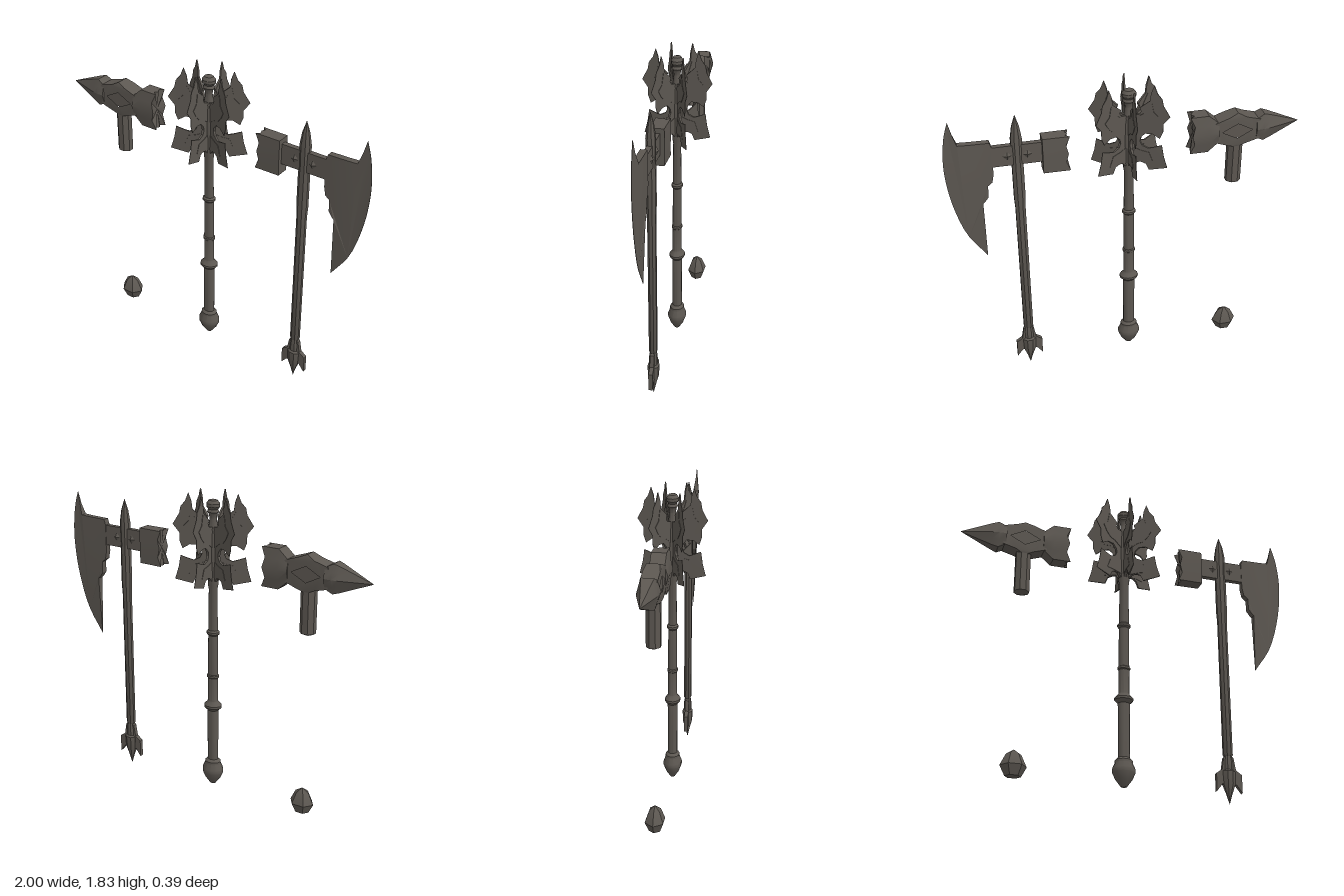
import * as THREE from 'three';
import { toCreasedNormals } from 'three/addons/utils/BufferGeometryUtils.js';

const steel = new THREE.MeshStandardMaterial({ color: 0x5c5751 });
steel.name = 'dark steel';

function add(parent, name, geometry, x = 0, y = 0, z = 0) {
  const mesh = new THREE.Mesh(toCreasedNormals(geometry, 0.56), steel);
  mesh.name = name;
  mesh.position.set(x, y, z);
  parent.add(mesh);
  return mesh;
}

const lathe = (points, sides) =>
  new THREE.LatheGeometry(points.map(([r, y]) => new THREE.Vector2(r, y)), sides, Math.PI / sides);

// Flat plate centred on z = 0; thin(x, y) scales its thickness point by point.
function plate(points, half, thin = () => 1, hole) {
  const shape = new THREE.Shape(points.map(([x, y]) => new THREE.Vector2(x, y)));
  if (hole) shape.holes.push(new THREE.Path(hole.map(([x, y]) => new THREE.Vector2(x, y))));
  const g = new THREE.ExtrudeGeometry(shape, { depth: 2 * half, bevelEnabled: false });
  g.translate(0, 0, -half);
  const p = g.attributes.position;
  for (let i = 0; i < p.count; i++) p.setZ(i, p.getZ(i) * thin(p.getX(i), p.getY(i)));
  return g;
}

// Sixteen-point rings along x. Station: [x, half height, half depth, corner depth factor].
function loft(stations, scallop = 0) {
  const unit = [];
  for (let s = 0; s < 4; s++) {
    for (let k = 0; k < 4; k++) {
      const t = -1 + k / 2;
      unit.push([[1, t], [-t, 1], [-1, -t], [t, -1]][s]);
    }
  }
  const pos = [], idx = [], n = 16, last = stations.length - 1;
  stations.forEach(([x, h, d, c], i) => unit.forEach(([u, v], j) => {
    const dent = i === last ? scallop * [0, 1, 0.4, 1][j % 4] : 0;
    pos.push(x - dent, u * h, v * d * (1 - (1 - c) * Math.abs(u)));
  }));
  for (let i = 0; i < last; i++) {
    for (let j = 0; j < n; j++) {
      const a = i * n + j, b = i * n + (j + 1) % n;
      idx.push(a, b, a + n, b, b + n, a + n);
    }
  }
  const start = pos.length / 3;
  pos.push(stations[0][0], 0, 0, stations[last][0] - scallop, 0, 0);
  for (let j = 0; j < n; j++) {
    const k = (j + 1) % n;
    idx.push(start, k, j, start + 1, last * n + j, last * n + k);
  }
  const g = new THREE.BufferGeometry();
  g.setAttribute('position', new THREE.Float32BufferAttribute(pos, 3));
  g.setIndex(idx);
  return g;
}

function createHammer() {
  const g = new THREE.Group();
  g.name = 'warHammer';
  g.position.set(-0.63, 1.48, 0);
  add(g, 'hammerSpike', loft([
    [-0.37, 0.001, 0.001, 0.5], [-0.19, 0.072, 0.052, 0.55],
    [-0.155, 0.083, 0.058, 0.6], [-0.11, 0.058, 0.06, 0.7]]));
  // Body block with a sunken diamond on both faces
  const half = [[-0.13, 0.06], [-0.05, 0.082], [0, 0.108], [0.05, 0.088], [0.13, 0.06]];
  const outline = [...half, ...half.map(([x, y]) => [x, -y]).reverse()];
  add(g, 'hammerBody', plate(outline, 0.045, (x, y) => (Math.abs(y) > 0.1 ? 0.75 : 1),
    [[-0.085, 0], [0, 0.045], [0.09, 0], [0, -0.045]]));
  add(g, 'diamondRecess', new THREE.BoxGeometry(0.19, 0.1, 0.064));
  add(g, 'hammerFace', loft([
    [0.11, 0.06, 0.058, 0.7], [0.17, 0.113, 0.058, 0.7], [0.275, 0.113, 0.058, 0.7]], 0.025));
  // Short handle with a shallow point
  add(g, 'hammerHandle', lathe([[0, -0.357], [0.046, -0.338], [0.046, -0.08]], 8)).scale.z = 0.9;
  // Separate faceted pommel
  add(g, 'hammerPommel', lathe([[0, -1.435], [0.045, -1.435], [0.074, -1.378],
    [0.042, -1.312], [0, -1.285]], 6)).scale.z = 0.8;
  return g;
}

function createMace() {
  const g = new THREE.Group();
  g.name = 'flangedMace';
  g.position.x = -0.015;
  g.scale.x = 1.2;
  add(g, 'maceShaft', lathe([
    [0, 0.038], [0.015, 0.045], [0.04, 0.085], [0.055, 0.125], [0.055, 0.145], [0.042, 0.18],
    [0.042, 0.195], [0.028, 0.21], [0.029, 0.53], [0.034, 0.535], [0.046, 0.55], [0.046, 0.563],
    [0.032, 0.58], [0.026, 0.59], [0.026, 0.735], [0.031, 0.74], [0.031, 0.752], [0.026, 0.757],
    [0.025, 1], [0.033, 1.01], [0.033, 1.022], [0.025, 1.032], [0.022, 1.28], [0.026, 1.3],
    [0.028, 1.36], [0.03, 1.45], [0.03, 1.6], [0.022, 1.65], [0.018, 1.69], [0.022, 1.715],
    [0.03, 1.725], [0.024, 1.74], [0.034, 1.755], [0.034, 1.772], [0.022, 1.79], [0, 1.797]], 12));
  // Six flanges: a horned upper wing and a square lower wing joined at the core
  const wing = [
    [0.01, 1.64], [0.05, 1.65], [0.06, 1.67], [0.053, 1.69], [0.1, 1.735], [0.105, 1.78],
    [0.12, 1.828], [0.136, 1.78], [0.158, 1.75], [0.165, 1.71], [0.197, 1.648], [0.165, 1.6],
    [0.165, 1.555], [0.15, 1.51], [0.115, 1.535], [0.08, 1.535], [0.06, 1.51], [0.055, 1.485],
    [0.065, 1.46], [0.095, 1.445], [0.125, 1.455], [0.16, 1.47], [0.17, 1.4], [0.188, 1.33],
    [0.1, 1.308], [0.085, 1.345], [0.05, 1.36], [0.01, 1.31]];
  const inlays = [
    [[0.02, 1.62], [0.075, 1.66], [0.11, 1.73], [0.12, 1.67], [0.145, 1.64], [0.125, 1.6],
      [0.1, 1.57], [0.07, 1.56], [0.02, 1.52]],
    [[0.02, 1.45], [0.06, 1.43], [0.1, 1.42], [0.12, 1.36], [0.085, 1.36], [0.02, 1.35]]];
  for (let i = 0; i < 6; i++) {
    const flange = new THREE.Group();
    flange.name = 'flange';
    flange.rotation.y = (i + 0.5) * Math.PI / 3;
    add(flange, 'flangeWing', plate(wing, 0.009, (r) => Math.max(0.12, 1 - r / 0.19)));
    inlays.forEach((p) => add(flange, 'flangeInlay', plate(p, 0.011, (r) => 1 - r / 0.24)));
    g.add(flange);
  }
  return g;
}

function createAxe() {
  const g = new THREE.Group();
  g.name = 'battleAxe';
  g.position.x = 0.605;
  // Shaft runs from the bottom spike to the top spike
  add(g, 'axeShaft', lathe([
    [0, 0], [0.018, 0.06], [0.038, 0.115], [0.042, 0.19], [0.03, 0.2], [0.03, 0.25],
    [0.024, 0.28], [0.03, 0.29], [0.03, 1.13], [0.034, 1.2], [0.034, 1.4], [0.031, 1.45],
    [0.034, 1.575], [0.022, 1.65], [0, 1.718]], 8)).scale.z = 0.8;
  // Swept fins on the pommel, left and right
  for (const s of [-1, 1]) {
    add(g, 'pommelFin', plate([[0.02, 0.28], [0.03, 0.27], [0.042, 0.2], [0.077, 0.175],
      [0.077, 0.07], [0.042, 0.115], [0.02, 0.11]].map(([x, y]) => [s * x, y]), 0.012));
  }
  // Cross arm with faceted bosses around the shaft
  add(g, 'axeArm', new THREE.BoxGeometry(0.32, 0.12, 0.03), 0, 1.482);
  for (const s of [-1, 1]) {
    add(g, 'armBoss', new THREE.OctahedronGeometry(1), s * 0.055, 1.482).scale.set(0.055, 0.058, 0.027);
  }
  add(g, 'axeHammerFace', loft([[0.135, 0.105, 0.04, 0.95], [0.285, 0.105, 0.042, 0.95]], 0.022),
    0, 1.465).rotation.y = Math.PI;
  // Bearded blade thinning to its curved edge
  const edge = new THREE.CatmullRomCurve3([
    [0.353, 1.715], [0.378, 1.63], [0.395, 1.5], [0.394, 1.38], [0.37, 1.21], [0.305, 1], [0.202, 0.842]]
    .map(([x, y]) => new THREE.Vector3(x, y, 0))).getPoints(20).map((p) => [p.x, p.y]);
  const back = [[0.204, 1.2], [0.19, 1.215], [0.172, 1.24], [0.17, 1.31], [0.145, 1.33],
    [0.135, 1.38], [0.135, 1.545], [0.145, 1.575], [0.25, 1.577], [0.315, 1.58], [0.335, 1.64]];
  add(g, 'axeBlade', plate([...edge, ...back], 0.018, (x, y) =>
    (edge.some(([ex, ey]) => Math.hypot(ex - x, ey - y) < 0.002) ? 0.06 : y > 1.6 ? 0.4 : 1)));
  return g;
}

export function createModel() {
  const model = new THREE.Group();
  model.name = 'weaponSet';
  model.add(createHammer(), createMace(), createAxe());
  return model;
}
